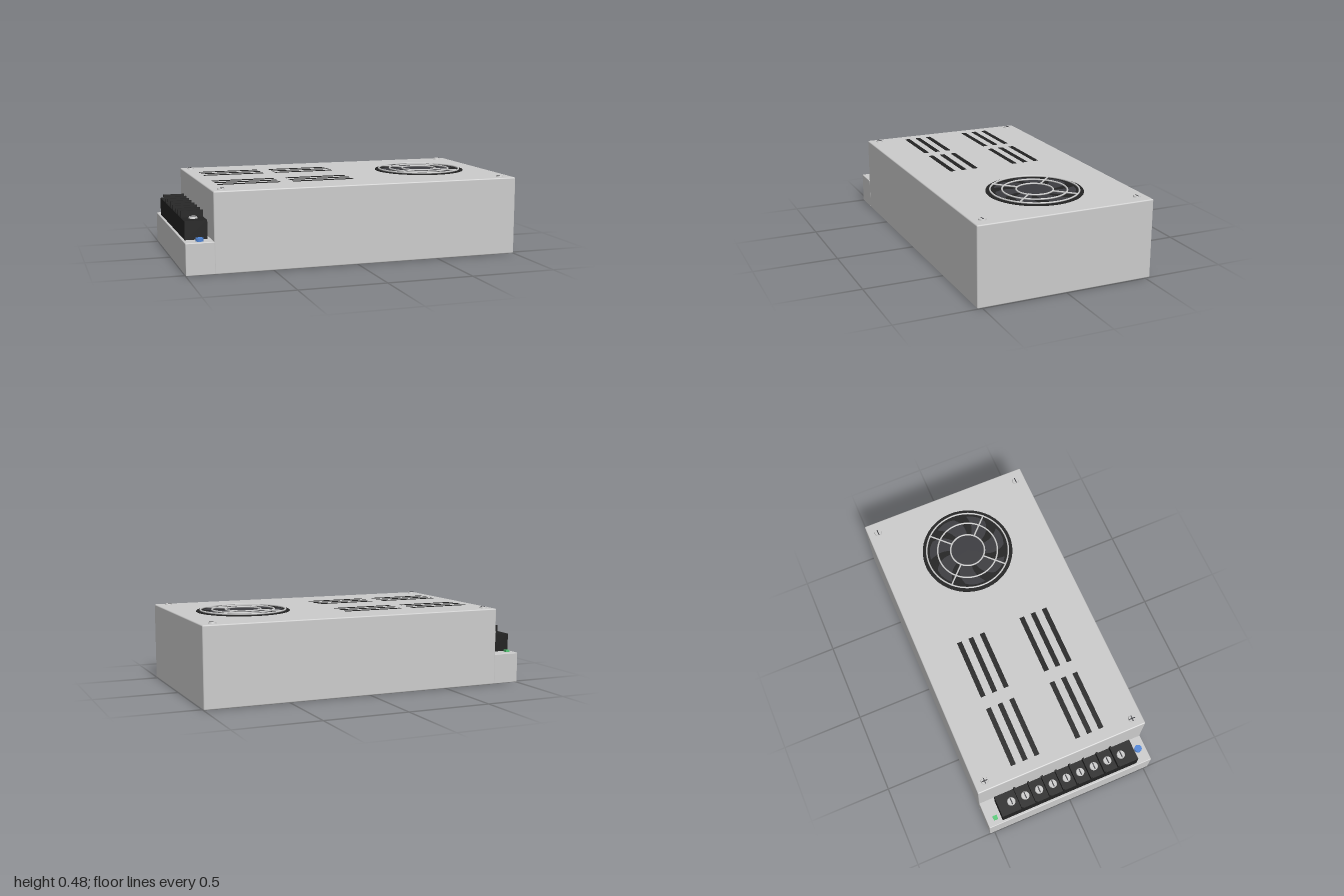
import * as THREE from 'three';
import { RoundedBoxGeometry } from 'three/addons/geometries/RoundedBoxGeometry.js';

const material = (color) => new THREE.MeshStandardMaterial({ color });
const grey = material(0xcccccc);
const black = material(0x222222);
const charcoal = material(0x3c3c40);
const blue = material(0x4f86d9);
const green = material(0x55cc77);

function add(parent, name, geometry, mat, x = 0, y = 0, z = 0) {
  const mesh = new THREE.Mesh(geometry, mat);
  mesh.name = name;
  mesh.position.set(x, y, z);
  parent.add(mesh);
  return mesh;
}

// Box given by its limits on each axis
function box(parent, name, mat, x0, x1, y0, y1, z0, z1, radius = 0) {
  const size = [x1 - x0, y1 - y0, z1 - z0];
  const geometry = radius ? new RoundedBoxGeometry(...size, 2, radius) : new THREE.BoxGeometry(...size);
  return add(parent, name, geometry, mat, (x0 + x1) / 2, (y0 + y1) / 2, (z0 + z1) / 2);
}

function group(parent, name, x = 0, y = 0, z = 0) {
  const g = new THREE.Group();
  g.name = name;
  g.position.set(x, y, z);
  parent.add(g);
  return g;
}

// Screw with a flat head and a dark slot, standing on its local y = 0
function screw(parent, name, x, y, z, radius, height, angle, cross = false) {
  const g = group(parent, name, x, y, z);
  add(g, 'screwHead', new THREE.CylinderGeometry(radius * 0.9, radius, height, 24), grey, 0, height / 2, 0);
  for (const turn of cross ? [0, Math.PI / 2] : [0]) {
    const slot = add(g, 'screwSlot', new THREE.BoxGeometry(radius * 1.6, 0.002, radius * 0.25), charcoal, 0, height, 0);
    slot.rotation.y = angle + turn;
  }
}

// Swept fan blade, drawn flat
function bladeGeometry() {
  const shape = new THREE.Shape();
  shape.moveTo(0.09, -0.035);
  shape.quadraticCurveTo(0.17, -0.06, 0.225, 0.0);
  shape.quadraticCurveTo(0.24, 0.06, 0.2, 0.12);
  shape.quadraticCurveTo(0.16, 0.04, 0.09, 0.03);
  shape.closePath();
  const geometry = new THREE.ExtrudeGeometry(shape, { depth: 0.002, bevelEnabled: false, curveSegments: 8 });
  return geometry.rotateX(-Math.PI / 2);
}

function addFan(parent, top) {
  const fan = group(parent, 'fan', 0.593, top, 0);
  add(fan, 'fanOpening', new THREE.CylinderGeometry(0.278, 0.278, 0.004, 64), black, 0, 0.001, 0);
  const blade = bladeGeometry();
  for (let i = 0; i < 7; i++) {
    add(fan, 'fanBlade', blade, charcoal, 0, 0.003, 0).rotation.y = (i * Math.PI * 2) / 7;
  }
  add(fan, 'fanHub', new THREE.CylinderGeometry(0.1, 0.1, 0.005, 48), charcoal, 0, 0.004, 0);

  // Wire finger guard: three rings and four diagonal spokes
  for (const radius of [0.105, 0.185, 0.253]) {
    add(fan, 'guardRing', new THREE.TorusGeometry(radius, 0.005, 8, 64), grey, 0, 0.009, 0).rotation.x = Math.PI / 2;
  }
  for (let i = 0; i < 4; i++) {
    const spoke = new THREE.CylinderGeometry(0.005, 0.005, 0.155, 8);
    spoke.rotateZ(Math.PI / 2).translate(0.18, 0, 0);
    add(fan, 'guardSpoke', spoke, grey, 0, 0.01, 0).rotation.y = Math.PI / 4 + (i * Math.PI) / 2;
  }
}

function addTerminals(parent, base) {
  const block = group(parent, 'terminalBlock');
  const [x0, x1] = [-0.986, -0.858];
  const pitch = 0.0885;
  box(block, 'terminalBase', black, x0, x1, base - 0.005, 0.292, -0.44, 0.435);
  for (let i = 0; i < 9; i++) {
    const z = -0.358 + i * pitch;
    screw(block, 'terminalScrew', -0.922, 0.292, z, 0.025, 0.01, 0);
    if (i < 8) {
      const mid = z + pitch / 2;
      box(block, 'terminalDivider', black, x0, x1, 0.285, 0.33, mid - 0.006, mid + 0.006);
    }
  }
}

export function createModel() {
  const model = new THREE.Group();
  model.name = 'powerSupply';
  const top = 0.465;
  const ledge = 0.185;

  // Enclosure and the low shelf that carries the terminals
  box(model, 'enclosure', grey, -0.84, 1, 0, top, -0.53, 0.53, 0.007);
  box(model, 'terminalShelf', grey, -1, -0.835, 0.002, ledge, -0.53, 0.53, 0.004);

  // Ventilation slots in four banks of three
  for (const x of [-0.765, -0.318]) {
    for (const side of [-1, 1]) {
      for (const z of [0.13, 0.204, 0.278]) {
        box(model, 'ventSlot', black, x, x + 0.37, top - 0.003, top + 0.0015, side * z - 0.015, side * z + 0.015);
      }
    }
  }

  addFan(model, top);

  // Lid screws
  for (const x of [-0.785, 0.925]) {
    for (const z of [-0.467, 0.467]) screw(model, 'lidScrew', x, top, z, 0.022, 0.008, 0, x < 0);
  }

  addTerminals(model, ledge);

  // Status light and voltage trimmer on the shelf
  box(model, 'statusLight', green, -0.968, -0.942, ledge - 0.005, ledge + 0.012, -0.488, -0.462);
  add(model, 'voltageTrimmer', new THREE.CylinderGeometry(0.022, 0.022, 0.02, 24), blue, -0.912, ledge + 0.008, 0.482);

  return model;
}
